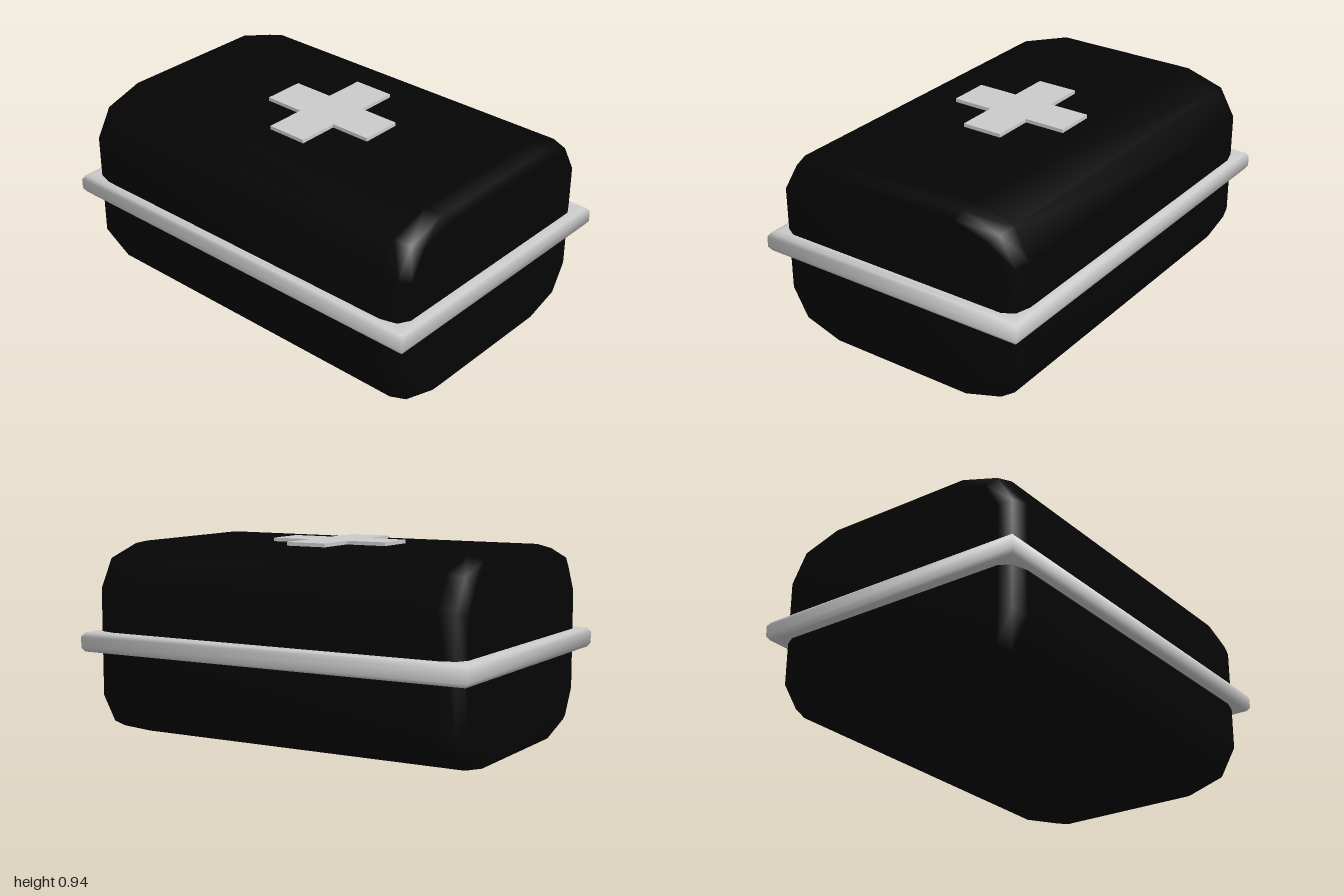
import * as THREE from 'three';

const grey = new THREE.MeshStandardMaterial({ color: 0xcccccc });
const black = new THREE.MeshStandardMaterial({ color: 0x050505 });

// Skin closed rings of points; optionally cap both ends with a fan
function loft(rings, capped) {
  const n = rings[0].length, last = rings.length - 1;
  const pos = rings.flat(2), index = [];
  for (let i = 0; i < last; i++) {
    for (let j = 0; j < n; j++) {
      const a = i * n + j, b = i * n + (j + 1) % n;
      index.push(a, b, b + n, a, b + n, a + n);
    }
  }
  if (capped) {
    for (const end of [0, last]) {
      const centre = pos.length / 3;
      for (let k = 0; k < 3; k++) pos.push(rings[end].reduce((s, p) => s + p[k], 0) / n);
      for (let j = 0; j < n; j++) {
        const a = end * n + j, b = end * n + (j + 1) % n;
        if (end === 0) index.push(centre, b, a);
        else index.push(centre, a, b);
      }
    }
  }
  const g = new THREE.BufferGeometry();
  g.setAttribute('position', new THREE.Float32BufferAttribute(pos, 3));
  g.setIndex(index);
  g.computeVertexNormals();
  return g;
}

export function createModel() {
  const group = new THREE.Group();
  const add = (name, geometry, material) => {
    const mesh = new THREE.Mesh(geometry, material);
    mesh.name = name;
    group.add(mesh);
    return mesh;
  };

  // Case: bevelled section in (y, z) around mid height, shrinking at both ends
  const mid = 0.4625;
  const quarter = [[0.4625, 0.375], [0.4025, 0.568], [0.2625, 0.648]];
  const half = [...quarter, ...quarter.map(([y, z]) => [-y, z]).reverse()];
  const section = [...half, ...half.map(([y, z]) => [y, -z]).reverse()];
  const stations = [[-0.95, 0.885], [-0.92, 0.967], [-0.845, 1], [0.845, 1], [0.92, 0.967], [0.95, 0.885]];
  add('case', loft(stations.map(([x, s]) => section.map(([y, z]) => [x, mid + y * s, z * s])), true), black);

  // Rim: rounded band with mitred corners, given as (inset, height)
  const rim = [[0.08, 0.412], [0.04, 0.412], [0.013, 0.417], [0, 0.436],
    [0, 0.487], [0.013, 0.507], [0.04, 0.513], [0.08, 0.513]];
  const corners = [[-1, 1], [1, 1], [1, -1], [-1, -1]];
  add('rim', loft(rim.map(([d, y]) => corners.map(([sx, sz]) => [sx * (1 - d), y, sz * (0.688 - d)])), false), grey);

  // Raised cross on the lid
  const a = 0.1, b = 0.3;
  const outline = [[a, b], [-a, b], [-a, a], [-b, a], [-b, -a], [-a, -a],
    [-a, -b], [a, -b], [a, -a], [b, -a], [b, a], [a, a]];
  const shape = new THREE.Shape(outline.map(([x, y]) => new THREE.Vector2(x, y)));
  const cross = new THREE.ExtrudeGeometry(shape, { depth: 0.03, bevelEnabled: false });
  cross.rotateX(-Math.PI / 2);
  add('cross', cross, grey).position.y = 0.912;

  return group;
}
